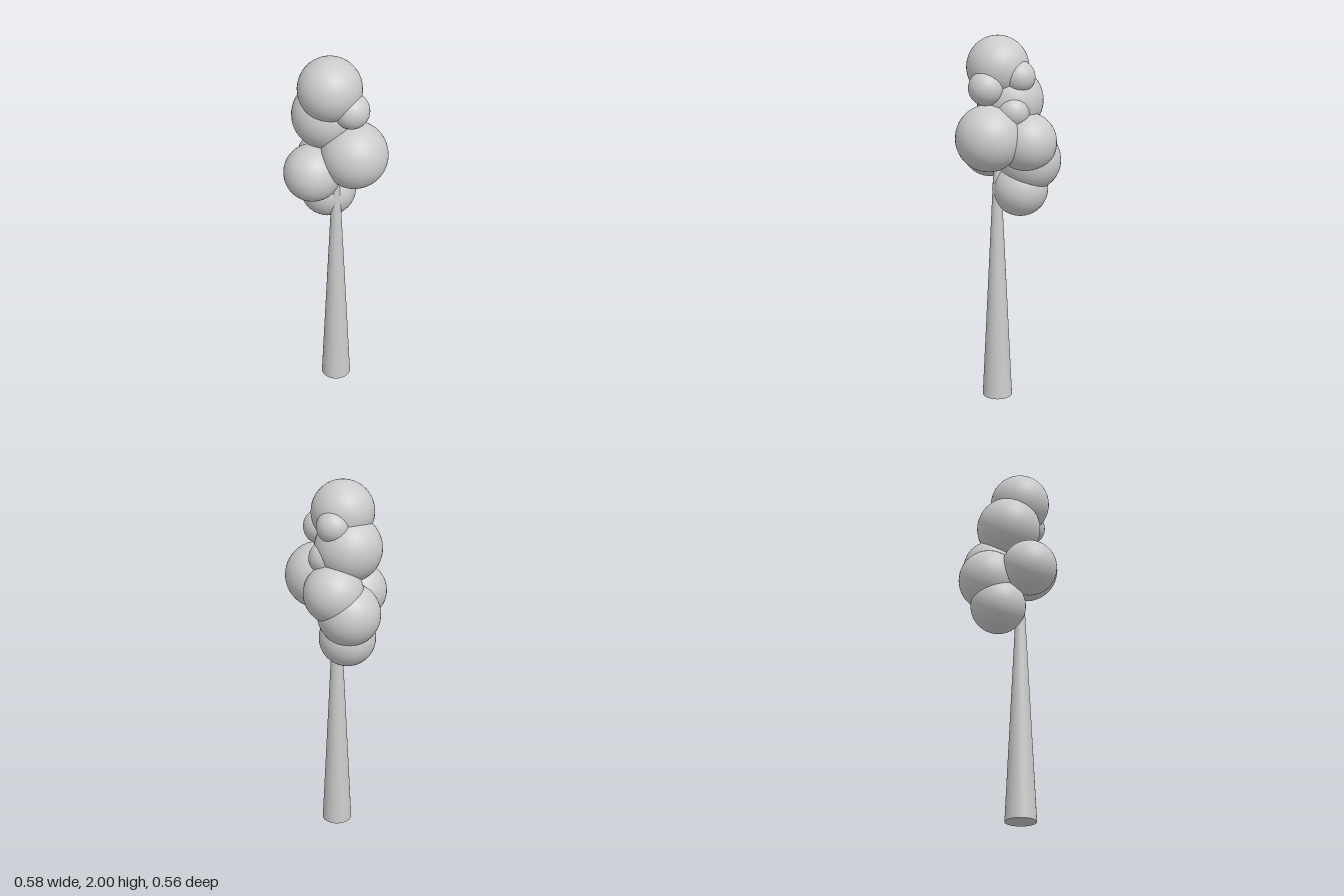
import * as THREE from 'three';

export function createModel() {
  const model = new THREE.Group();
  model.name = 'tree';
  const material = new THREE.MeshStandardMaterial({ color: 0xcccccc });

  const add = (parent, name, geometry, x, y, z) => {
    const mesh = new THREE.Mesh(geometry, material);
    mesh.name = name;
    mesh.position.set(x, y, z);
    parent.add(mesh);
    return mesh;
  };

  // Tapered trunk, its tip buried in the foliage
  const trunkHeight = 1.45;
  add(model, 'trunk', new THREE.CylinderGeometry(0.012, 0.082, trunkHeight, 32),
    0.017, trunkHeight / 2, 0.02);

  // Foliage clumps: name, radius, x, y, z
  const foliage = new THREE.Group();
  foliage.name = 'foliage';
  model.add(foliage);
  const clumps = [
    ['crownClump', 0.164, -0.008, 1.836, 0.037],
    ['upperClump', 0.176, -0.064, 1.66, 0],
    ['leftClump', 0.175, 0.113, 1.483, -0.008],
    ['frontClump', 0.15, -0.05, 1.382, 0.13],
    ['backClump', 0.157, -0.053, 1.453, -0.127],
    ['rightClump', 0.165, -0.123, 1.34, -0.09],
    ['lowerClump', 0.15, -0.09, 1.185, -0.05],
    ['smallLeftClump', 0.092, 0.11, 1.743, 0.013],
    ['smallBackClump', 0.086, -0.028, 1.795, -0.09],
    ['smallInnerClump', 0.087, 0.018, 1.62, -0.09],
  ];
  for (const [name, radius, x, y, z] of clumps) {
    add(foliage, name, new THREE.SphereGeometry(radius, 40, 28), x, y, z);
  }

  return model;
}
